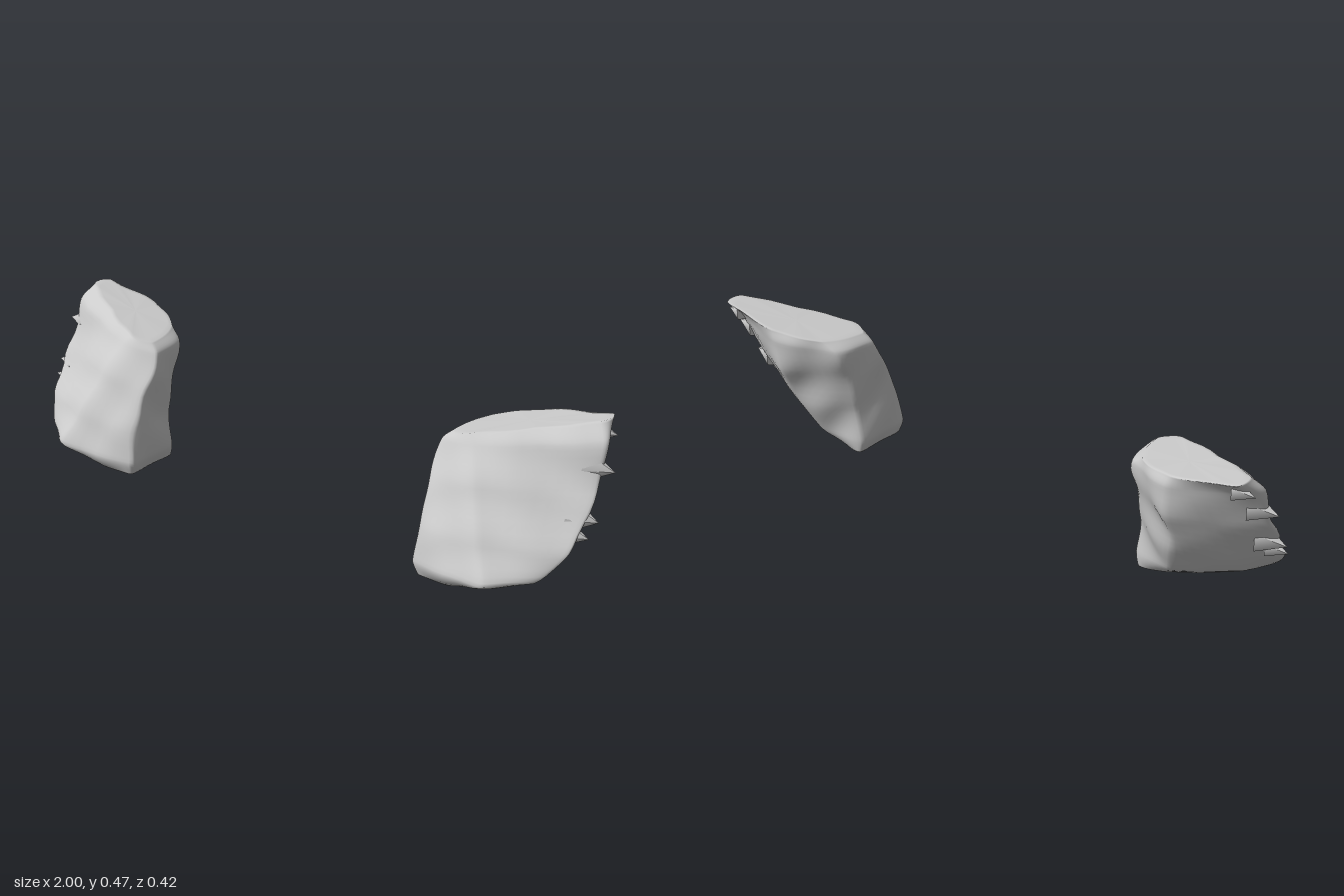
import * as THREE from 'three';

// Horizontal sections from base to top: height, tilt along x, and corners [x, z]
// in the order inner front, front crease, outer ridge, outer back, back, inner back.
const LEVELS = [
  { y: 0.006, tilt: 0.03, pts: [[0.54, 0.155], [0.64, 0.16], [0.73, 0.11], [0.71, 0.04], [0.62, -0.02], [0.54, -0.03]] },
  { y: 0.05, tilt: 0.08, pts: [[0.53, 0.165], [0.77, 0.207], [0.89, 0.12], [0.84, 0.03], [0.66, -0.07], [0.53, -0.03]] },
  { y: 0.16, tilt: 0, pts: [[0.53, 0.135], [0.74, 0.172], [0.95, 0.06], [0.91, 0], [0.7, -0.12], [0.54, -0.04]] },
  { y: 0.29, tilt: 0.03, pts: [[0.52, 0.075], [0.69, 0.11], [0.96, -0.045], [0.93, -0.08], [0.72, -0.18], [0.54, -0.07]] },
  { y: 0.375, tilt: 0.13, pts: [[0.525, 0.03], [0.65, 0.058], [0.955, -0.09], [0.94, -0.14], [0.72, -0.207], [0.555, -0.11]] },
  { y: 0.4, tilt: 0.19, pts: [[0.55, 0.01], [0.62, 0.035], [0.93, -0.12], [0.925, -0.198], [0.73, -0.203], [0.59, -0.13]] },
];
const AROUND = 60;
const UP = 30;

// Small rolling unevenness of the stone surface
const bump = (p) =>
  0.003 * (Math.sin(41 * p.x + 23 * p.y) + Math.sin(37 * p.z - 29 * p.y + 11 * p.x));

function rockGeometry(side) {
  // Softly cornered loop for every level
  const loops = LEVELS.map(({ y, tilt, pts }) => {
    const corners = pts.map(([x, z]) => new THREE.Vector3(x, y + tilt * (x - 0.53), z));
    const curve = new THREE.CatmullRomCurve3(corners, true, 'catmullrom', 0.22);
    return Array.from({ length: AROUND }, (_, i) => curve.getPoint(i / AROUND));
  });

  // Run a curve up through the loops to get the rows of the wall
  const rows = Array.from({ length: UP + 1 }, () => []);
  for (let i = 0; i < AROUND; i++) {
    const rib = new THREE.CatmullRomCurve3(loops.map((l) => l[i]), false, 'catmullrom', 0.3);
    for (let j = 0; j <= UP; j++) {
      const p = rib.getPoint(j / UP);
      const b = bump(p);
      p.x += b;
      p.z += b;
      rows[j].push(p);
    }
  }

  // Close base and top with shrinking rings
  const shrink = (row, s) => {
    const c = row.reduce((a, p) => a.add(p), new THREE.Vector3()).divideScalar(AROUND);
    return row.map((p) => c.clone().lerp(p, s));
  };
  const base = rows[0];
  const top = rows[UP];
  const all = [
    ...[0.001, 0.45, 0.88].map((s) => shrink(base, s)),
    ...rows,
    ...[0.88, 0.45, 0.001].map((s) => shrink(top, s)),
  ];

  const position = [];
  const index = [];
  all.forEach((row) => row.forEach((p) => position.push(side * p.x, Math.max(0.001, p.y), p.z)));
  for (let j = 0; j < all.length - 1; j++) {
    for (let i = 0; i < AROUND; i++) {
      const a = j * AROUND + i;
      const b = j * AROUND + ((i + 1) % AROUND);
      const c = b + AROUND;
      const d = a + AROUND;
      if (side > 0) index.push(a, b, c, a, c, d);
      else index.push(a, c, b, a, d, c);
    }
  }
  const geo = new THREE.BufferGeometry();
  geo.setAttribute('position', new THREE.Float32BufferAttribute(position, 3));
  geo.setIndex(index);
  geo.computeVertexNormals();
  return geo;
}

// Jagged teeth on the outer ridge: tip position, base radius, length
const TEETH = [
  [1, 0.36, -0.085, 0.042, 0.08],
  [0.995, 0.235, -0.02, 0.045, 0.08],
  [0.985, 0.195, 0.01, 0.03, 0.06],
  [0.965, 0.435, -0.155, 0.03, 0.06],
];

export function createModel() {
  const model = new THREE.Group();
  const material = new THREE.MeshStandardMaterial({ color: 0xcccccc });

  for (const side of [1, -1]) {
    const half = new THREE.Group();
    half.name = side > 0 ? 'leftRock' : 'rightRock';

    const body = new THREE.Mesh(rockGeometry(side), material);
    body.name = 'rockBody';
    half.add(body);

    for (const [x, y, z, radius, length] of TEETH) {
      const tooth = new THREE.Mesh(new THREE.ConeGeometry(radius, length, 5), material);
      tooth.name = 'ridgeTooth';
      tooth.rotation.z = (-side * Math.PI) / 2;
      tooth.position.set(side * (x - length / 2), y, z);
      half.add(tooth);
    }
    model.add(half);
  }
  return model;
}
